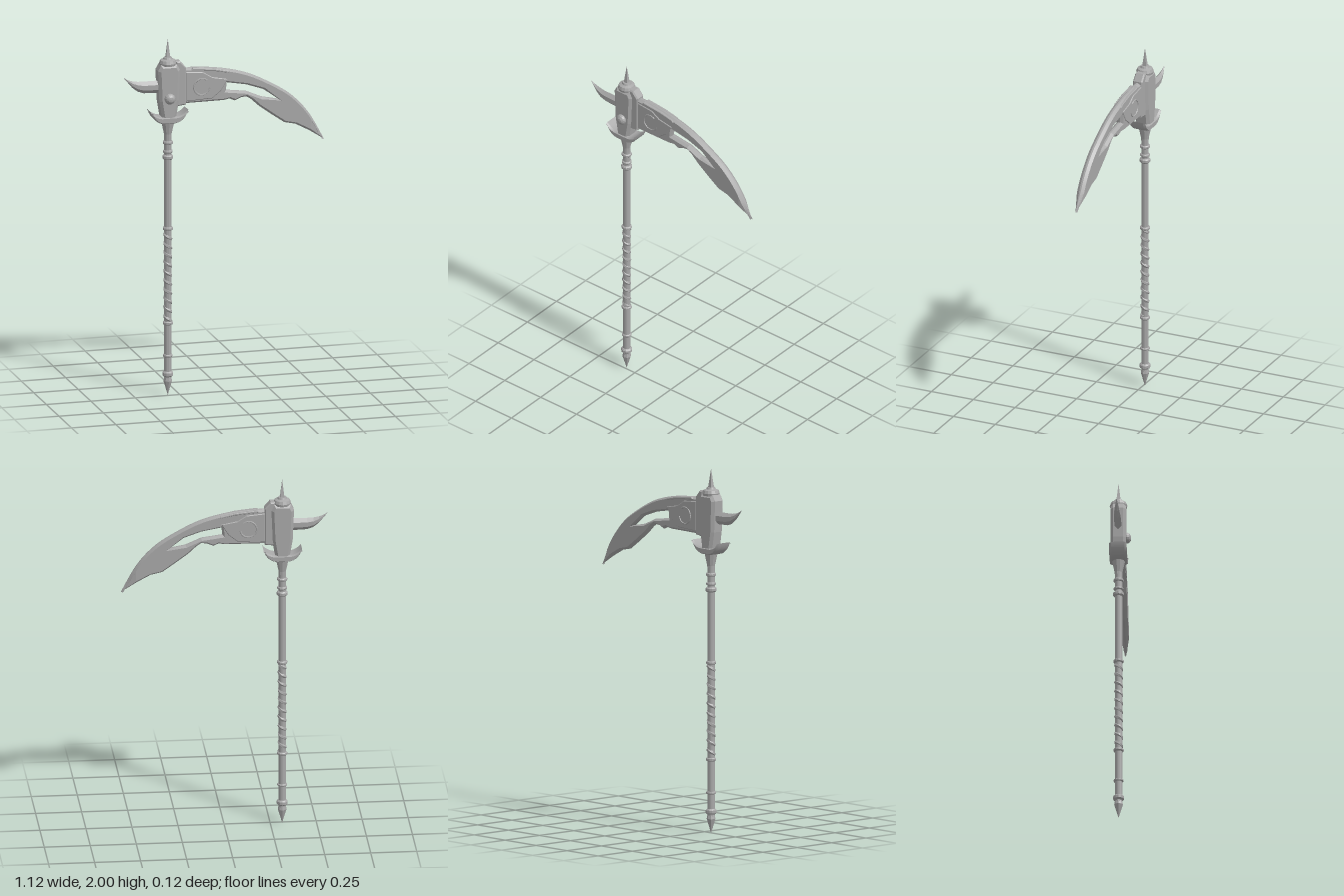
import * as THREE from 'three';

const steel = new THREE.MeshStandardMaterial({ color: 0xa8a8a8, flatShading: true });
steel.name = 'grey steel';

const SHAFT_X = -0.315;
const pts = (list) => list.map(([x, y]) => new THREE.Vector2(x, y));

function add(parent, name, geometry, x = 0, y = 0, z = 0) {
  const mesh = new THREE.Mesh(geometry, steel);
  mesh.name = name;
  mesh.position.set(x, y, z);
  parent.add(mesh);
  return mesh;
}

// Chamfered slab, centred on z = 0; the outline stays at its full size
function slab(shape, half, bevel, bevelDepth = bevel) {
  const core = half - bevelDepth;
  const g = new THREE.ExtrudeGeometry(shape, {
    depth: core * 2, bevelEnabled: true, bevelSegments: 1, bevelSize: bevel,
    bevelThickness: bevelDepth, bevelOffset: -bevel, curveSegments: 18,
  });
  return g.translate(0, 0, -core);
}

const lathe = (profile, sides) => new THREE.LatheGeometry(pts(profile), sides);

// Curved hook lofted from six-sided sections: [x, top, bottom, half thickness]
function hookGeometry(sections) {
  const pos = [], idx = [], n = 6;
  for (const [x, top, bottom, h] of sections) {
    const at = (t) => bottom + (top - bottom) * t;
    pos.push(x, top, 0, x, at(0.7), h, x, at(0.3), h, x, bottom, 0, x, at(0.3), -h, x, at(0.7), -h);
  }
  for (let s = 0; s < sections.length - 1; s++) {
    for (let i = 0; i < n; i++) {
      const a = s * n + i, b = s * n + (i + 1) % n;
      idx.push(a, a + n, b, b, a + n, b + n);
    }
  }
  const g = new THREE.BufferGeometry();
  g.setAttribute('position', new THREE.Float32BufferAttribute(pos, 3));
  g.setIndex(idx);
  g.computeVertexNormals();
  return g;
}

function buildPole(root) {
  const pole = new THREE.Group();
  pole.name = 'pole';
  pole.position.x = SHAFT_X;
  root.add(pole);

  add(pole, 'shaft', lathe([
    [0, 0.1], [0.02, 0.1], [0.02, 1.44], [0.021, 1.47], [0.036, 1.54], [0.036, 1.56], [0, 1.56],
  ], 10));
  add(pole, 'bottomPoint', lathe([[0, 0.005], [0.012, 0.045], [0.024, 0.085], [0.018, 0.115]], 8));

  // Raised rings: [centre height, radius, height]
  const rings = [
    [0.125, 0.03, 0.03], [0.228, 0.027, 0.014], [0.41, 0.028, 0.018], [0.94, 0.028, 0.018],
    [1.34, 0.03, 0.026], [1.372, 0.027, 0.016], [1.422, 0.028, 0.018],
  ];
  for (const [y, r, h] of rings) {
    const c = h / 4;
    add(pole, 'ring', lathe([
      [0.018, y - h / 2], [r - c, y - h / 2], [r, y - h / 2 + c],
      [r, y + h / 2 - c], [r - c, y + h / 2], [0.018, y + h / 2],
    ], 12));
  }

  // Strap wound around the grip
  const turns = 10, path = [];
  for (let i = 0; i <= turns * 10; i++) {
    const a = (i / 10) * Math.PI * 2;
    path.push(new THREE.Vector3(Math.cos(a) * 0.013, 0.42 + 0.51 * i / (turns * 10), Math.sin(a) * 0.013));
  }
  add(pole, 'gripWrap', new THREE.TubeGeometry(new THREE.CatmullRomCurve3(path), 160, 0.012, 6));
}

function buildHead(root) {
  const head = new THREE.Group();
  head.name = 'head';
  head.position.x = SHAFT_X;
  root.add(head);

  add(head, 'headBlock', slab(new THREE.Shape(pts([
    [-0.036, 1.545], [0.036, 1.545], [0.055, 1.66], [0.062, 1.83],
    [0.045, 1.862], [-0.045, 1.862], [-0.062, 1.83], [-0.055, 1.66],
  ])), 0.042, 0.015));

  // Round cap and square spike
  add(head, 'cap', lathe([
    [0, 1.855], [0.045, 1.855], [0.048, 1.868], [0.042, 1.884], [0.026, 1.89], [0.022, 1.9], [0, 1.9],
  ], 14));
  const spike = lathe([[0.017, 1.895], [0.012, 1.925], [0.0005, 2.0]], 4);
  add(head, 'topSpike', spike.rotateY(Math.PI / 4));

  // Front stud
  const stud = lathe([[0.03, 0], [0.03, 0.008], [0.025, 0.018], [0.014, 0.026], [0, 0.028]], 14);
  add(head, 'stud', stud.rotateX(Math.PI / 2), 0, 1.675, 0.04);

  // Upswept crescent guard
  const guard = new THREE.Shape();
  guard.moveTo(-0.105, 1.606);
  guard.quadraticCurveTo(-0.085, 1.54, -0.03, 1.535);
  guard.lineTo(0.03, 1.535);
  guard.quadraticCurveTo(0.085, 1.54, 0.105, 1.606);
  guard.quadraticCurveTo(0.075, 1.575, 0.04, 1.572);
  guard.lineTo(-0.04, 1.572);
  guard.quadraticCurveTo(-0.075, 1.575, -0.105, 1.606);
  add(head, 'guard', slab(guard, 0.048, 0.006, 0.012));
}

function buildBlade(root) {
  const blade = new THREE.Group();
  blade.name = 'blade';
  root.add(blade);

  add(blade, 'collar', slab(new THREE.Shape(pts([
    [-0.275, 1.625], [-0.218, 1.632], [-0.218, 1.84], [-0.25, 1.877], [-0.275, 1.877],
  ])), 0.028, 0.007));

  // Curved blade with a slot and a stepped cutting edge
  const outline = new THREE.Shape();
  outline.moveTo(-0.23, 1.635);
  for (const p of pts([
    [0, 1.637], [0.03, 1.643], [0.06, 1.63], [0.095, 1.645], [0.125, 1.648], [0.15, 1.632],
    [0.195, 1.59], [0.27, 1.535], [0.337, 1.488], [0.4, 1.474], [0.475, 1.434], [0.562, 1.378],
  ])) outline.lineTo(p.x, p.y);
  outline.splineThru(pts([
    [0.475, 1.532], [0.38, 1.637], [0.27, 1.71], [0.14, 1.775], [0.01, 1.812], [-0.12, 1.829], [-0.23, 1.833],
  ]));
  outline.holes.push(new THREE.Path(pts([
    [0.015, 1.735], [0.125, 1.715], [0.22, 1.682], [0.305, 1.62], [0.21, 1.64], [0.125, 1.677], [0.01, 1.692],
  ])));
  const g = slab(outline, 0.021, 0.011, 0.016);
  const p = g.attributes.position;
  for (let i = 0; i < p.count; i++) {
    // Thin the blade towards its tip
    p.setZ(i, p.getZ(i) * THREE.MathUtils.clamp((0.57 - p.getX(i)) / 0.07, 0.1, 1));
  }
  g.computeVertexNormals();
  add(blade, 'curvedBlade', g);

  // Raised cheek, spine strip and open rings on both sides
  add(blade, 'cheekPlate', slab(new THREE.Shape(pts([
    [-0.222, 1.648], [-0.07, 1.655], [-0.02, 1.695], [0.018, 1.758],
    [-0.07, 1.775], [-0.12, 1.806], [-0.222, 1.815],
  ])), 0.025, 0.005));
  add(blade, 'spineStrip', slab(new THREE.Shape(pts([
    [-0.19, 1.82], [-0.06, 1.808], [0.03, 1.79], [0.02, 1.803], [-0.06, 1.82], [-0.18, 1.832],
  ])), 0.024, 0.003));
  for (const side of [1, -1]) {
    const ring = add(blade, 'openRing', new THREE.TorusGeometry(0.045, 0.005, 6, 24, 5.2), -0.13, 1.725, side * 0.024);
    ring.rotation.z = 0.9;
  }
}

export function createModel() {
  const root = new THREE.Group();
  root.name = 'scythe';
  const body = new THREE.Group();
  body.name = 'weapon';
  body.position.z = -0.01;
  root.add(body);

  buildPole(body);
  buildHead(body);
  buildBlade(body);

  // Rear hook
  add(body, 'rearHook', hookGeometry([
    [-0.36, 1.772, 1.703, 0.019], [-0.45, 1.772, 1.706, 0.019], [-0.485, 1.773, 1.718, 0.017],
    [-0.515, 1.778, 1.742, 0.012], [-0.54, 1.787, 1.772, 0.006], [-0.56, 1.799, 1.796, 0.001],
  ]));
  return root;
}
